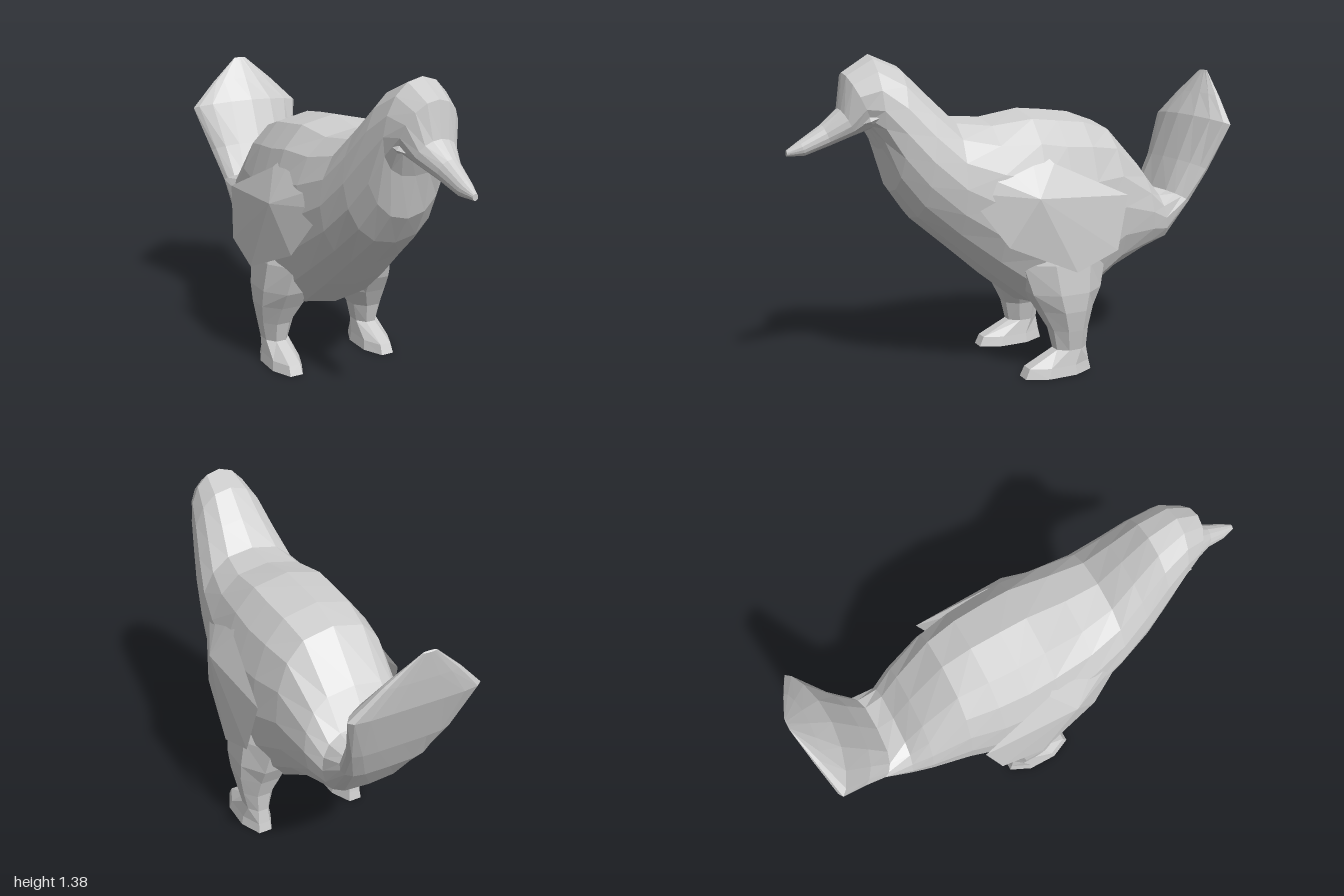
import * as THREE from 'three';

const material = new THREE.MeshStandardMaterial({ color: 0xcccccc, flatShading: true });

// Mesh from triangles of Vector3; side = -1 mirrors it across x
function facetMesh(name, tris, side = 1) {
  const pos = [];
  for (const [a, b, c] of tris) {
    for (const p of side > 0 ? [a, b, c] : [a, c, b]) pos.push(p.x * side, p.y, p.z);
  }
  const geo = new THREE.BufferGeometry();
  geo.setAttribute('position', new THREE.Float32BufferAttribute(pos, 3));
  geo.computeVertexNormals();
  const mesh = new THREE.Mesh(geo, material);
  mesh.name = name;
  return mesh;
}

// Closed skin over a row of rings with equal point counts
function loft(rings) {
  const tris = [];
  const n = rings[0].length;
  const middle = (r) => r.reduce((s, p) => s.add(p), new THREE.Vector3()).divideScalar(n);
  const first = rings[0], last = rings[rings.length - 1];
  const c0 = middle(first), c1 = middle(last);
  for (let j = 0; j < n; j++) {
    const k = (j + 1) % n;
    for (let i = 0; i + 1 < rings.length; i++) {
      const a = rings[i], b = rings[i + 1];
      tris.push([a[j], a[k], b[j]], [a[k], b[k], b[j]]);
    }
    tris.push([c0, first[k], first[j]], [c1, last[j], last[k]]);
  }
  return tris;
}

// Upright slanted ring: top (z, y), bottom (z, y), half width,
// droop of the widest point, roundness (below 1 is boxier)
function bodyRing([tz, ty, bz, by, w, droop, round]) {
  const ring = [];
  for (let j = 0; j < 16; j++) {
    const a = (j / 16) * Math.PI * 2;
    const t = Math.pow((1 + Math.cos(a)) / 2, droop);
    const s = Math.sin(a);
    const x = w * Math.sign(s) * Math.pow(Math.abs(s), round);
    ring.push(new THREE.Vector3(x, by + (ty - by) * t, bz + (tz - bz) * t));
  }
  return ring;
}

// Level eight-sided ring: y, centre x, centre z, half width, half depth
function legRing([y, cx, cz, rx, rz]) {
  const ring = [];
  const grow = 1 / Math.cos(Math.PI / 8);
  for (let j = 0; j < 8; j++) {
    const a = ((j + 0.5) / 8) * Math.PI * 2;
    ring.push(new THREE.Vector3(cx + rx * grow * Math.cos(a), y, cz + rz * grow * Math.sin(a)));
  }
  return ring;
}

export function createModel() {
  const model = new THREE.Group();
  model.name = 'bird';

  // Beak, head, neck and body, from front to rump
  const beak = [
    [1.0, 1.015, 1.0, 0.99, 0.012, 1, 1],
    [0.95, 1.05, 0.93, 0.99, 0.033, 1.2, 1],
    [0.86, 1.11, 0.83, 1.025, 0.052, 1.3, 1],
    [0.79, 1.17, 0.74, 1.06, 0.09, 1.3, 1],
  ];
  const body = [
    [0.79, 1.17, 0.74, 1.06, 0.09, 1.3, 1],
    [0.77, 1.31, 0.67, 1.085, 0.125, 1.4, 1],
    [0.66, 1.38, 0.63, 1.0, 0.155, 1.2, 0.95],
    [0.54, 1.33, 0.585, 0.82, 0.185, 1, 0.9],
    [0.43, 1.22, 0.5, 0.7, 0.22, 1, 0.85],
    [0.33, 1.12, 0.35, 0.57, 0.255, 1, 0.8],
    [0.18, 1.11, 0.18, 0.42, 0.29, 1, 0.75],
    [0.0, 1.14, 0.01, 0.285, 0.31, 1.05, 0.72],
    [-0.12, 1.13, -0.12, 0.26, 0.312, 1.1, 0.72],
    [-0.25, 1.115, -0.25, 0.28, 0.3, 1.1, 0.72],
    [-0.38, 1.07, -0.43, 0.4, 0.27, 1.1, 0.72],
    [-0.55, 0.89, -0.6, 0.475, 0.235, 1.1, 0.68],
    [-0.64, 0.77, -0.69, 0.505, 0.205, 1.1, 0.6],
  ];
  // Raised tail fan, from rump to tip
  const tail = [
    [-0.64, 0.77, -0.69, 0.505, 0.205, 1.1, 0.6],
    [-0.72, 0.74, -0.82, 0.68, 0.195, 1.3, 0.6],
    [-0.78, 0.88, -0.89, 0.83, 0.225, 2, 0.8],
    [-0.86, 1.08, -0.965, 1.04, 0.28, 2.5, 1],
    [-0.93, 1.18, -0.985, 1.16, 0.16, 2, 1],
    [-0.995, 1.28, -1.0, 1.275, 0.03, 1, 1],
  ];
  model.add(facetMesh('beak', loft(beak.map(bodyRing))));
  model.add(facetMesh('body', loft(body.map(bodyRing))));
  model.add(facetMesh('tail', loft(tail.map(bodyRing))));

  // Leg rings from the thigh, sunk into the body, down to the flat foot
  const leg = [
    [0.64, 0.17, -0.12, 0.11, 0.17],
    [0.5, 0.19, -0.115, 0.125, 0.2],
    [0.37, 0.21, -0.12, 0.118, 0.165],
    [0.29, 0.215, -0.125, 0.11, 0.122],
    [0.2, 0.235, -0.135, 0.075, 0.085],
    [0.11, 0.237, -0.142, 0.055, 0.072],
    [0.045, 0.237, -0.08, 0.065, 0.145],
    [0.002, 0.237, -0.075, 0.073, 0.16],
  ];

  // Wing outline (x, y, z), wound to face outward
  const rim = [
    [0.235, 0.83, 0.34], [0.305, 0.6, 0.18], [0.36, 0.475, -0.11], [0.355, 0.55, -0.31],
    [0.33, 0.78, -0.37], [0.275, 0.93, -0.04], [0.2, 1.04, 0.05], [0.17, 1.04, 0.27],
    [0.19, 0.95, 0.39],
  ].map((p) => new THREE.Vector3(...p));
  const outer = new THREE.Vector3(0.345, 0.8, 0.06);
  const inner = new THREE.Vector3(0.26, 0.78, 0.0);
  const wing = [];
  rim.forEach((p, i) => {
    const q = rim[(i + 1) % rim.length];
    wing.push([outer, p, q], [inner, q, p]);
  });

  for (const side of [1, -1]) {
    const label = side > 0 ? 'left' : 'right';
    model.add(facetMesh(label + 'Leg', loft(leg.map(legRing)), side));
    model.add(facetMesh(label + 'Wing', wing, side));

    // Narrow slanted eye
    const eye = new THREE.Mesh(new THREE.OctahedronGeometry(1), material);
    eye.name = label + 'Eye';
    eye.scale.set(0.012, 0.016, 0.04);
    eye.position.set(side * 0.118, 1.125, 0.69);
    eye.rotation.set(0.4, -side * 0.5, 0);
    model.add(eye);
  }
  return model;
}
